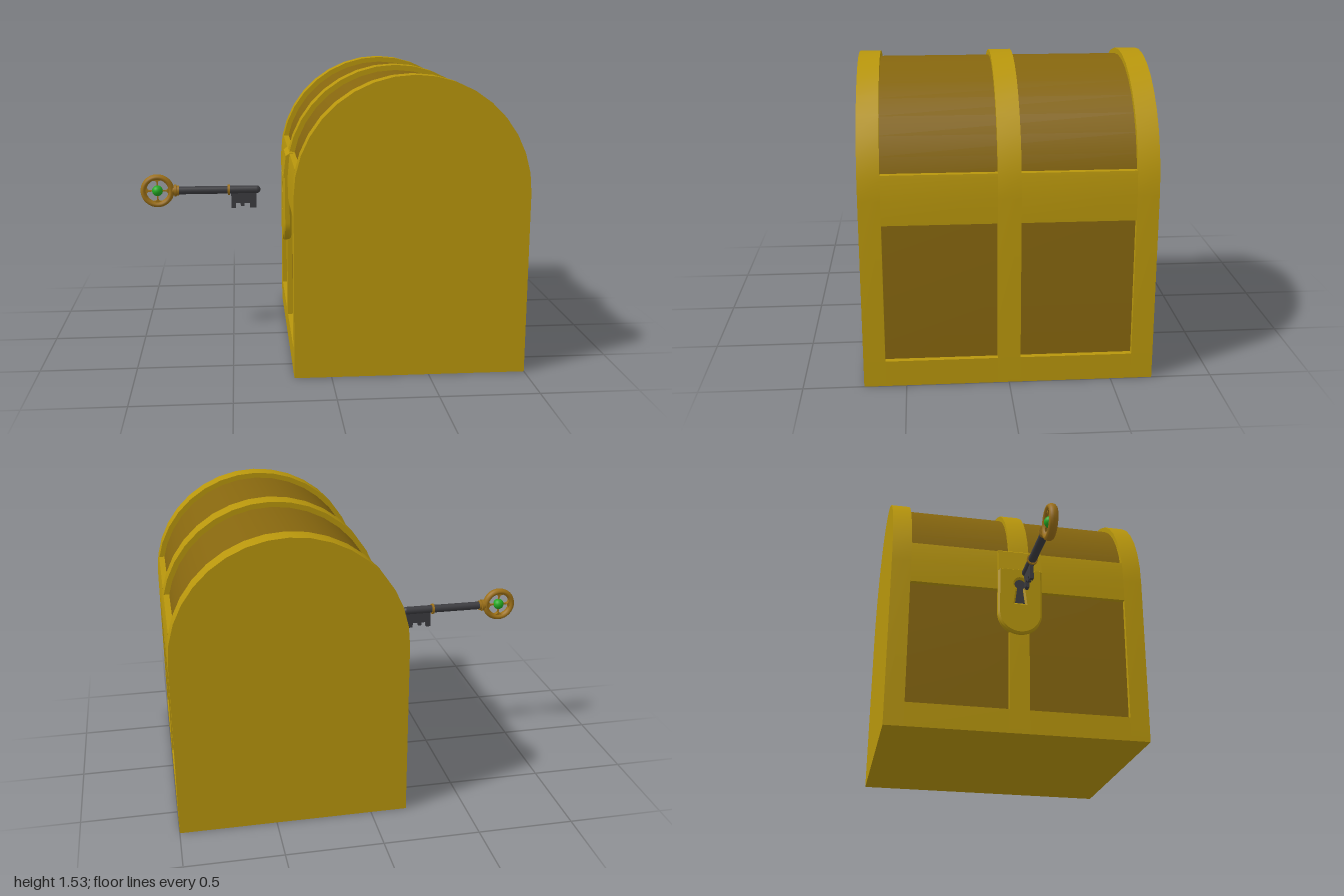
import * as THREE from 'three';
import { toCreasedNormals } from 'three/addons/utils/BufferGeometryUtils.js';

const gold = new THREE.MeshStandardMaterial({ color: 0xb8960c });
const wood = new THREE.MeshStandardMaterial({ color: 0x86660e });
const bronze = new THREE.MeshStandardMaterial({ color: 0x9c7018 });
const iron = new THREE.MeshStandardMaterial({ color: 0x3c3c40 });
const green = new THREE.MeshStandardMaterial({ color: 0x22aa22 });

const HALF = 0.595, SPRING = 0.94, END = 0.705;

function add(parent, name, geometry, material, x = 0, y = 0, z = 0) {
  const mesh = new THREE.Mesh(geometry, material);
  mesh.name = name;
  mesh.position.set(x, y, z);
  parent.add(mesh);
  return mesh;
}

const polygon = (points) => new THREE.Shape(points.map(([x, y]) => new THREE.Vector2(x, y)));

// Prism along z between z0 and z1, smooth over gentle bends
function prism(shape, z0, z1, options = {}) {
  const g = new THREE.ExtrudeGeometry(shape, { depth: z1 - z0, bevelEnabled: false, curveSegments: 18, ...options });
  g.translate(0, 0, z0);
  return toCreasedNormals(g, 0.4);
}

// Straight walls topped by a half round
function archShape(half, bottom) {
  const points = [[-half, bottom], [half, bottom]];
  for (let i = 0; i <= 18; i++) {
    const a = (i / 18) * Math.PI;
    points.push([half * Math.cos(a), SPRING + half * Math.sin(a)]);
  }
  return polygon(points);
}

function createChest() {
  const chest = new THREE.Group();
  chest.name = 'chest';
  chest.position.x = 0.405;

  // Recessed panels are one inner core showing between the frame members
  add(chest, 'panelCore', prism(archShape(0.567, 0.02), -0.65, 0.65), wood);

  // Solid ends and middle rib
  for (const [name, z0, z1] of [['endWall', -END, -0.6], ['middleRib', -0.055, 0.055], ['endWall', 0.6, END]]) {
    add(chest, name, prism(archShape(HALF, 0), z0, z1), gold);
  }

  // Base and rim rails in the two bays
  for (const [z0, z1] of [[-0.6, -0.055], [0.055, 0.6]]) {
    add(chest, 'baseRail', new THREE.BoxGeometry(HALF * 2, 0.13, z1 - z0), gold, 0, 0.065, (z0 + z1) / 2);
    for (const s of [-1, 1]) {
      const rail = polygon([[0.5, 0.82], [HALF, 0.82], [HALF, SPRING], [0.586, 1.043], [0.583, 1.06], [0.5, 1.06]]
        .map(([x, y]) => [s * x, y]));
      add(chest, 'rimRail', prism(rail, z0, z1), gold);
    }
  }
  return chest;
}

function createLock() {
  const lock = new THREE.Group();
  lock.name = 'lock';

  // Rounded plate with a keyhole
  const plate = new THREE.Shape();
  plate.moveTo(0.122, 0.945);
  plate.lineTo(-0.122, 0.945);
  plate.lineTo(-0.122, 0.677);
  plate.absarc(0, 0.677, 0.122, Math.PI, Math.PI * 2, false);
  const hole = new THREE.Path();
  hole.absarc(0, 0.85, 0.03, -Math.PI * 0.32, Math.PI * 1.32, false);
  hole.lineTo(-0.028, 0.735);
  hole.lineTo(0.028, 0.735);
  plate.holes.push(hole);
  const body = prism(plate, 0, 0.025, {
    bevelEnabled: true, bevelThickness: 0.01, bevelSize: 0.01, bevelOffset: -0.01, bevelSegments: 1,
  });
  add(lock, 'lockPlate', body, gold, -0.18).rotation.y = -Math.PI / 2;
  add(lock, 'keyholeBack', new THREE.BoxGeometry(0.02, 0.18, 0.08), iron, -0.19, 0.81, 0);

  // Hasp leaning with the lid
  const hasp = polygon([[-0.16, 0.93], [-0.214, 0.93], [-0.2, 1.05], [-0.178, 1.065], [-0.14, 1.06]]);
  add(lock, 'hasp', prism(hasp, -0.122, 0.122), gold);
  return lock;
}

function createKey() {
  const key = new THREE.Group();
  key.name = 'key';
  key.position.y = 0.845;
  const bowX = -0.907;

  // Round bow with a four-lobed opening
  const bow = new THREE.Shape();
  bow.absarc(0, 0, 0.085, 0, Math.PI * 2, false);
  const lobes = [];
  for (let i = 0; i < 48; i++) {
    const a = (i / 48) * Math.PI * 2;
    const r = 0.042 + 0.026 * Math.sqrt(Math.abs(Math.sin(2 * a)));
    lobes.push(new THREE.Vector2(r * Math.cos(a), r * Math.sin(a)));
  }
  bow.holes.push(new THREE.Path(lobes));
  add(key, 'bowTracery', prism(bow, -0.012, 0.012, { curveSegments: 32 }), bronze, bowX);
  add(key, 'bowRing', new THREE.TorusGeometry(0.077, 0.016, 10, 40).scale(1, 1, 1.45), bronze, bowX);

  // Gem on thin cross prongs
  add(key, 'gem', new THREE.SphereGeometry(0.03, 20, 14), green, bowX);
  for (const [w, h] of [[0.1, 0.008], [0.008, 0.1]]) {
    add(key, 'gemProng', new THREE.BoxGeometry(w, h, 0.01), bronze, bowX);
  }

  // Shaft with rounded tip
  add(key, 'shaft', new THREE.CapsuleGeometry(0.022, 0.45, 8, 20).rotateZ(Math.PI / 2), iron, -0.584);

  // Collars
  for (const [x, r, w] of [[-0.82, 0.022, 0.02], [-0.808, 0.033, 0.012], [-0.794, 0.027, 0.012], [-0.513, 0.029, 0.012]]) {
    const collar = new THREE.CylinderGeometry(r, r, w, 24).rotateZ(Math.PI / 2);
    add(key, 'collar', collar, bronze, x);
  }

  // Notched bit
  const bit = polygon([
    [-0.5, -0.005], [-0.5, -0.102], [-0.475, -0.102], [-0.475, -0.075], [-0.448, -0.075], [-0.448, -0.092],
    [-0.428, -0.092], [-0.428, -0.075], [-0.396, -0.075], [-0.396, -0.102], [-0.36, -0.102], [-0.36, -0.005],
  ]);
  add(key, 'bit', prism(bit, -0.01, 0.01), iron);
  return key;
}

export function createModel() {
  const model = new THREE.Group();
  model.name = 'treasureChestWithKey';
  model.add(createChest(), createLock(), createKey());
  return model;
}
